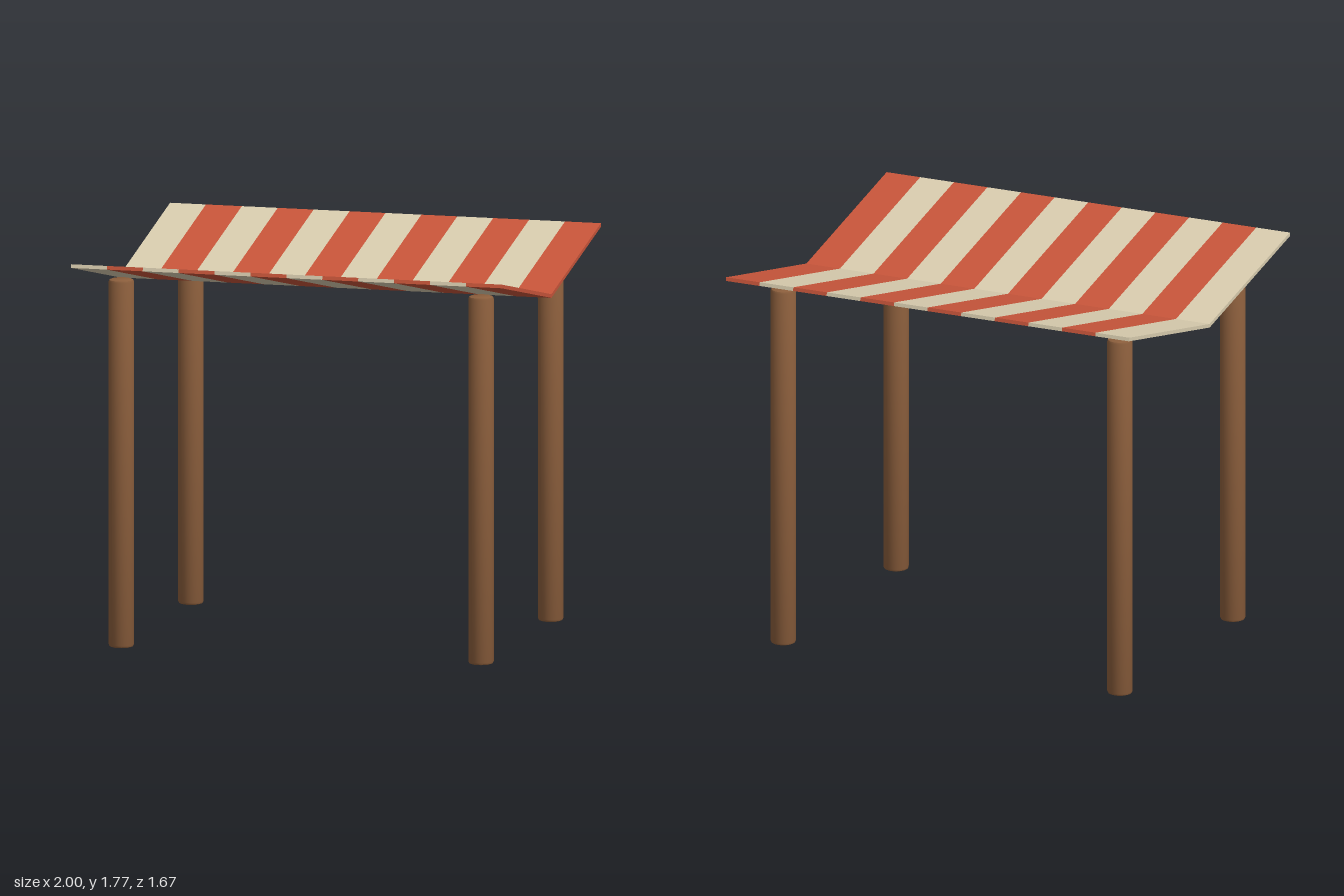
import * as THREE from 'three';
import { toCreasedNormals } from 'three/addons/utils/BufferGeometryUtils.js';

const material = (name, color) => {
  const m = new THREE.MeshStandardMaterial({ color });
  m.name = name;
  return m;
};

export function createModel() {
  const model = new THREE.Group();
  model.name = 'stripedCanopy';
  const wood = material('wood brown', 0x8b5e3c);
  const cream = material('canvas cream', 0xd8ccae);
  const red = material('canvas red', 0xc8553a);

  // Posts: round poles with softened ends
  const r = 0.057, h = 1.67, b = 0.012;
  const profile = [
    [0, 0], [r - b, 0], [r - b * 0.3, b * 0.3], [r, b],
    [r, h - b], [r - b * 0.3, h - b * 0.3], [r - b, h], [0, h],
  ].map(([x, y]) => new THREE.Vector2(x, y));
  const postGeometry = toCreasedNormals(new THREE.LatheGeometry(profile, 24), 0.6);
  for (const [zName, z] of [['front', 0.585], ['back', -0.585]]) {
    for (const [xName, x] of [['Left', 0.835], ['Right', -0.835]]) {
      const post = new THREE.Mesh(postGeometry, wood);
      post.name = `${zName}${xName}Post`;
      post.position.set(x, 0, z);
      model.add(post);
    }
  }

  // Canopy: a thin V section, cut into twelve alternating stripes
  const section = new THREE.Shape([
    [0, 1.57], [0.836, 1.754], [0.832, 1.77],
    [0, 1.587], [-0.832, 1.77], [-0.836, 1.754],
  ].map(([x, y]) => new THREE.Vector2(x, y)));
  const stripes = 12, width = 2 / stripes;
  const stripeGeometry = new THREE.ExtrudeGeometry(section, { depth: width, bevelEnabled: false });
  stripeGeometry.rotateY(Math.PI / 2);
  const canopy = new THREE.Group();
  canopy.name = 'canopy';
  for (let i = 0; i < stripes; i++) {
    const stripe = new THREE.Mesh(stripeGeometry, i % 2 ? red : cream);
    stripe.name = `canopyStripe${i + 1}`;
    stripe.position.x = -1 + i * width;
    canopy.add(stripe);
  }
  model.add(canopy);

  return model;
}
